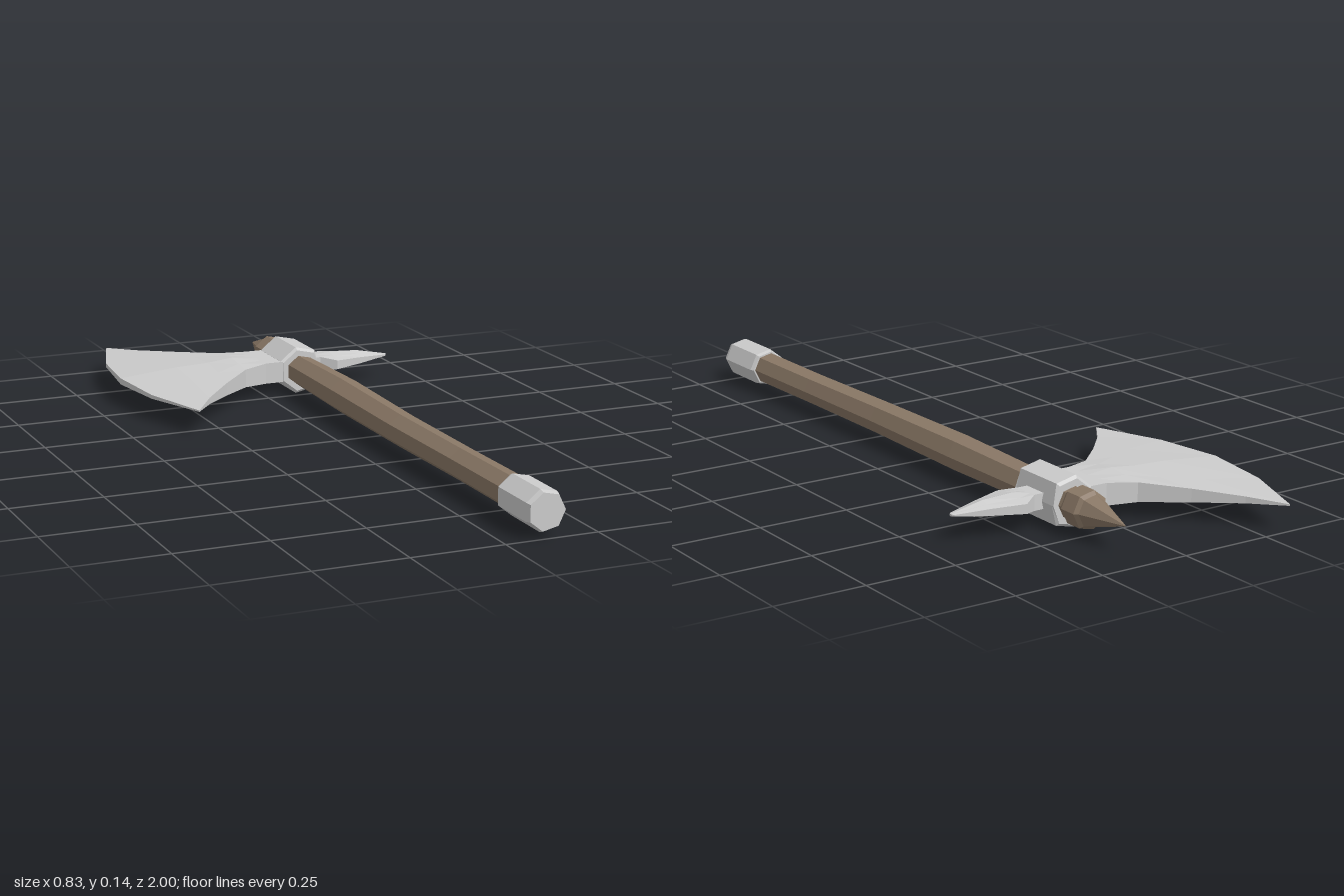
import * as THREE from 'three';

const CX = 0.11, CY = 0.071, HEAD_Z = -0.6;

// Skin a list of point rings and close both ends.
function loft(rings) {
  const n = rings[0].length, pos = rings.flat(2), idx = [];
  const quad = (a, b, c, d) => idx.push(a, b, c, a, c, d);
  for (let i = 0; i < rings.length - 1; i++)
    for (let j = 0; j < n; j++) {
      const k = (j + 1) % n, p = i * n, q = p + n;
      quad(p + j, p + k, q + k, q + j);
    }
  const last = (rings.length - 1) * n;
  for (let j = 0; j < n / 2 - 1; j++) {
    const a = j, b = j + 1, c = n - 2 - j, d = n - 1 - j;
    quad(last + a, last + b, last + c, last + d);
    quad(d, c, b, a);
  }
  const g = new THREE.BufferGeometry();
  g.setAttribute('position', new THREE.Float32BufferAttribute(pos, 3));
  g.setIndex(idx);
  const flat = g.toNonIndexed();
  flat.computeVertexNormals();
  return flat;
}

// Seven-sided ring round the handle axis, optionally cut off at maxX.
function ring(z, r, dx = 0, dy = 0, maxX = Infinity) {
  return Array.from({ length: 7 }, (_, i) => {
    const a = (i / 7) * Math.PI * 2;
    return [Math.min(CX + dx + r * Math.cos(a), maxX), CY + dy + r * Math.sin(a), z];
  });
}

// Lens-shaped section across the head: thick in the middle, thinner at its rims.
function section([xMid, xRim, halfZ, tMid, tRim]) {
  const f = [-1, -0.5, 0, 0.5, 1];
  const point = (t, side) => [
    xMid + (xRim - xMid) * t * t,
    CY + side * (tMid + (tRim - tMid) * Math.abs(t)),
    HEAD_Z + t * halfZ,
  ];
  return [...f.map(t => point(t, 1)), ...f.reverse().map(t => point(t, -1))];
}

export function createModel() {
  const group = new THREE.Group();
  const metal = new THREE.MeshStandardMaterial({ color: 0xcccccc, flatShading: true });
  const wood = new THREE.MeshStandardMaterial({ color: 0x8a7866, flatShading: true });
  const add = (name, rings, material) => {
    const mesh = new THREE.Mesh(loft(rings), material);
    mesh.name = name;
    group.add(mesh);
  };

  // Slightly bowed wooden handle
  add('handle', [
    ring(-0.71, 0.042), ring(-0.5, 0.045), ring(-0.2, 0.05, -0.002, 0.001),
    ring(0.2, 0.046, -0.006), ring(0.55, 0.044, -0.002), ring(0.84, 0.045),
  ], wood);

  // Pointed wooden end above the head
  add('handleTip', [
    ring(-0.9, 0.002), ring(-0.77, 0.043), ring(-0.76, 0.052),
    ring(-0.71, 0.052), ring(-0.695, 0.042),
  ], wood);

  // Metal cap at the lower end
  add('pommel', [
    ring(0.83, 0.05), ring(0.84, 0.055), ring(0.985, 0.055), ring(1, 0.05),
  ], metal);

  // Socket gripping the handle
  const cut = 0.167;
  add('collar', [
    ring(-0.685, 0.062, 0, 0, cut), ring(-0.678, 0.07, 0, 0, cut),
    ring(-0.525, 0.07, 0, 0, cut), ring(-0.518, 0.062, 0, 0, cut),
  ], metal);

  // Flared blade, from cutting edge to socket
  add('blade', [
    [-0.415, -0.325, 0.4, 0.009, 0.002],
    [-0.245, -0.26, 0.307, 0.025, 0.009],
    [-0.15, -0.17, 0.205, 0.029, 0.018],
    [-0.075, -0.075, 0.11, 0.037, 0.026],
    [0, 0, 0.08, 0.03, 0.03],
    [0.07, 0.07, 0.08, 0.03, 0.03],
  ].map(section), metal);

  // Back spike opposite the blade
  add('backSpike', [
    [0.13, 0.13, 0.035, 0.021, 0.021],
    [0.19, 0.19, 0.036, 0.021, 0.021],
    [0.232, 0.232, 0.065, 0.025, 0.013],
    [0.32, 0.32, 0.038, 0.022, 0.009],
    [0.415, 0.41, 0.01, 0.003, 0.002],
  ].map(section), metal);

  return group;
}
